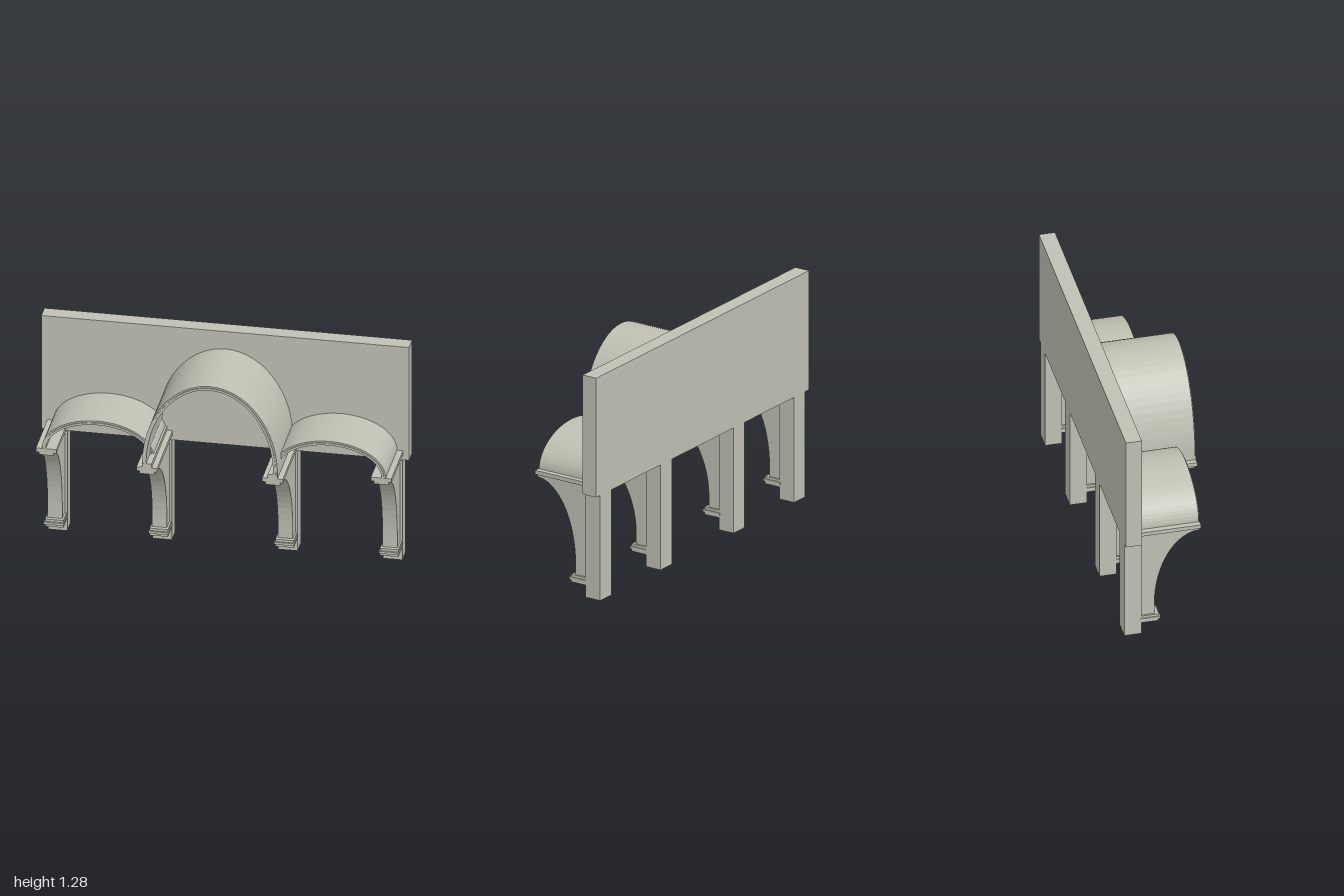
import * as THREE from 'three';

const stone = new THREE.MeshStandardMaterial({ color: 0xc0bfb3 });
stone.name = 'stone';

const WALL_FRONT = -0.18;
const BACK = -0.268;

function add(parent, name, geometry) {
  const mesh = new THREE.Mesh(geometry, stone);
  mesh.name = name;
  parent.add(mesh);
  return mesh;
}

// Box given by centre x, width, and its y and z ranges
function block(parent, name, x, w, y0, y1, z0, z1) {
  const mesh = add(parent, name, new THREE.BoxGeometry(w, y1 - y0, z1 - z0));
  mesh.position.set(x, (y0 + y1) / 2, (z0 + z1) / 2);
}

// Half-elliptical shell running forward from the wall
function shell(parent, name, x, y, a, b, outer, inner, front) {
  const s = new THREE.Shape();
  const n = 32;
  for (let i = 0; i <= n; i++) {
    const t = (i / n) * Math.PI;
    s.lineTo((a - outer) * Math.cos(t), (b - outer) * Math.sin(t));
  }
  for (let i = n; i >= 0; i--) {
    const t = (i / n) * Math.PI;
    s.lineTo((a - inner) * Math.cos(t), (b - inner) * Math.sin(t));
  }
  // Drop the implicit origin created by the first lineTo
  const pts = s.getPoints().filter(p => p.lengthSq() > 1e-6);
  const geo = new THREE.ExtrudeGeometry(new THREE.Shape(pts), {
    depth: front - WALL_FRONT, bevelEnabled: false,
  });
  const mesh = add(parent, name, geo);
  mesh.position.set(x, y, WALL_FRONT);
}

// Vault made of an outer shell and a slightly longer inner rib
function vault(parent, name, x, y, a, b, front) {
  const g = new THREE.Group();
  g.name = name;
  shell(g, 'vaultShell', x, y, a, b, 0, 0.011, front - 0.005);
  shell(g, 'vaultRib', x, y, a, b, 0.009, 0.022, front);
  parent.add(g);
}

// Curved bracket, drawn in the z-y plane and extruded across x
function bracketGeometry(front, width) {
  const pts = [
    new THREE.Vector2(WALL_FRONT, 0.07),
    new THREE.Vector2(-0.1, 0.07),
  ];
  const n = 16;
  for (let i = 0; i <= n; i++) {
    const t = (i / n) * Math.PI / 2;
    pts.push(new THREE.Vector2(front - (front + 0.1) * Math.cos(t), 0.17 + 0.445 * Math.sin(t)));
  }
  pts.push(new THREE.Vector2(front, 0.635), new THREE.Vector2(WALL_FRONT, 0.635));
  const geo = new THREE.ExtrudeGeometry(new THREE.Shape(pts), { depth: width, bevelEnabled: false });
  geo.translate(0, 0, -width / 2);
  geo.rotateY(-Math.PI / 2);
  return geo;
}

function support(parent, x, front, inner) {
  const g = new THREE.Group();
  g.name = inner ? 'innerSupport' : 'outerSupport';
  block(g, 'pillar', x, 0.106, 0, 0.6, BACK, -0.174);
  add(g, 'bracket', bracketGeometry(front - 0.005, 0.08)).position.x = x;
  // Stepped foot of the bracket
  block(g, 'footBlock', x, 0.1, 0.067, 0.11, WALL_FRONT, -0.078);
  block(g, 'footBand', x, 0.11, 0.082, 0.096, WALL_FRONT, -0.069);
  // Ledge carrying the vaults
  block(g, 'ledge', x, 0.112, 0.633, 0.656, WALL_FRONT, front);
  if (inner) block(g, 'springer', x, 0.052, 0.656, 0.68, WALL_FRONT, front);
  parent.add(g);
}

export function createModel() {
  const model = new THREE.Group();
  model.name = 'vaultedArcade';

  block(model, 'wall', 0, 2, 0.6, 1.28, BACK, WALL_FRONT);

  for (const side of [-1, 1]) {
    support(model, side * 0.911, 0.153, false);
    support(model, side * 0.342, 0.268, true);
    vault(model, side > 0 ? 'leftVault' : 'rightVault', side * 0.63, 0.656, 0.305, 0.191, 0.153);
  }
  vault(model, 'centreVault', 0, 0.68, 0.368, 0.495, 0.268);

  return model;
}
